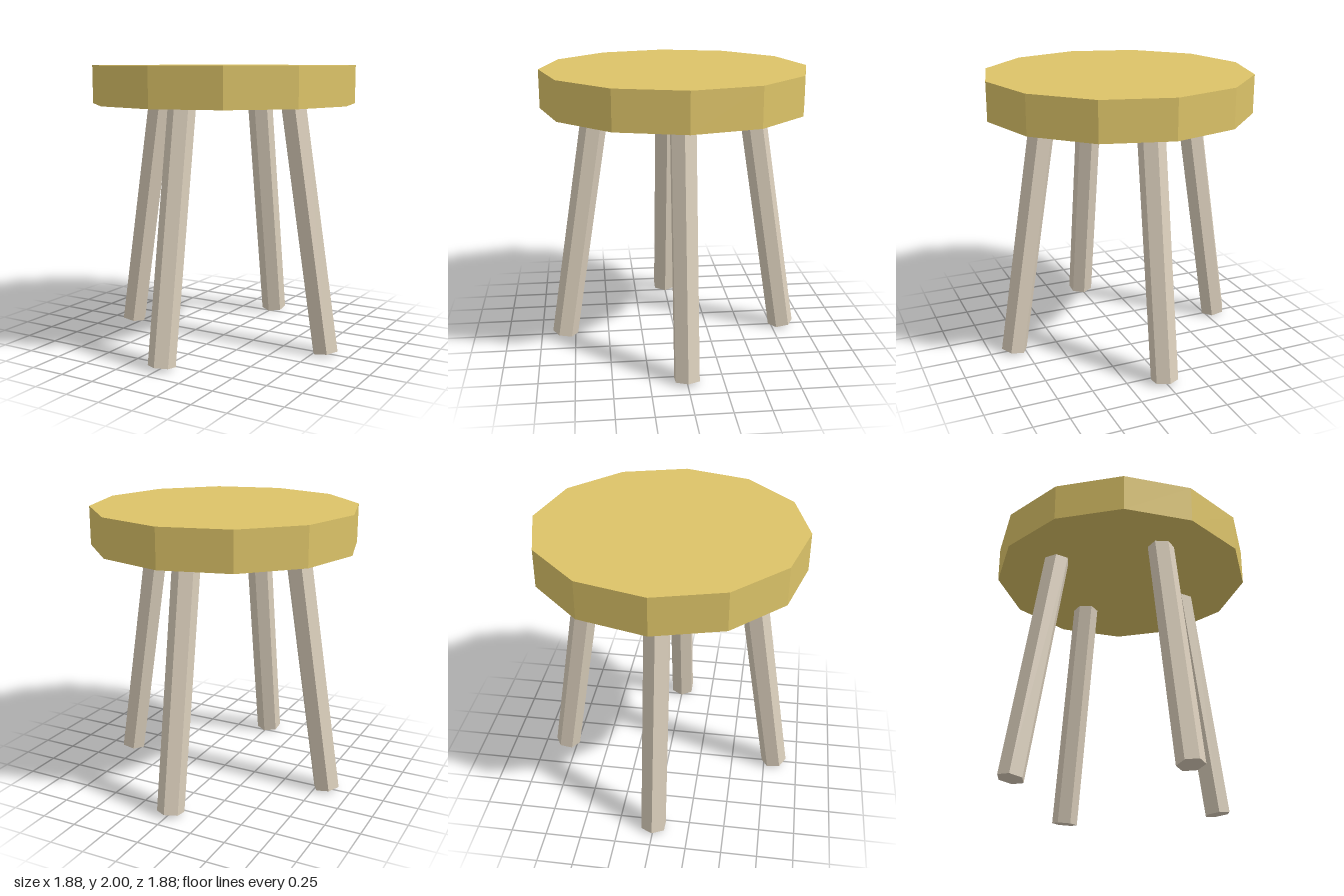
import * as THREE from 'three';

export function createModel() {
  const stool = new THREE.Group();
  stool.name = 'stool';

  const seatWood = new THREE.MeshStandardMaterial({ color: 0xdcc368 });
  seatWood.name = 'golden wood';
  seatWood.flatShading = true;
  const legWood = new THREE.MeshStandardMaterial({ color: 0xdbcfbc });
  legWood.name = 'pale wood';
  legWood.flatShading = true;

  // Twelve-sided seat slab
  const seatHeight = 0.27;
  const seat = new THREE.Mesh(new THREE.CylinderGeometry(0.94, 0.94, seatHeight, 12), seatWood);
  seat.name = 'seat';
  seat.position.y = 2 - seatHeight / 2;
  stool.add(seat);

  // Four six-sided legs, splayed outwards, with their tops sunk into the seat
  const tilt = THREE.MathUtils.degToRad(9);
  const legLength = 1.78;
  const legGeometry = new THREE.CylinderGeometry(0.094, 0.094, legLength, 6);
  legGeometry.translate(0, legLength / 2, 0); // pivot at the foot
  ['front', 'left', 'back', 'right'].forEach((side, i) => {
    const leg = new THREE.Mesh(legGeometry, legWood);
    leg.name = side + 'Leg';
    leg.position.set(0, 0.015, 0.825);
    leg.rotation.x = -tilt;
    const pivot = new THREE.Group();
    pivot.name = side + 'LegPivot';
    pivot.rotation.y = (i * Math.PI) / 2;
    pivot.add(leg);
    stool.add(pivot);
  });

  return stool;
}
